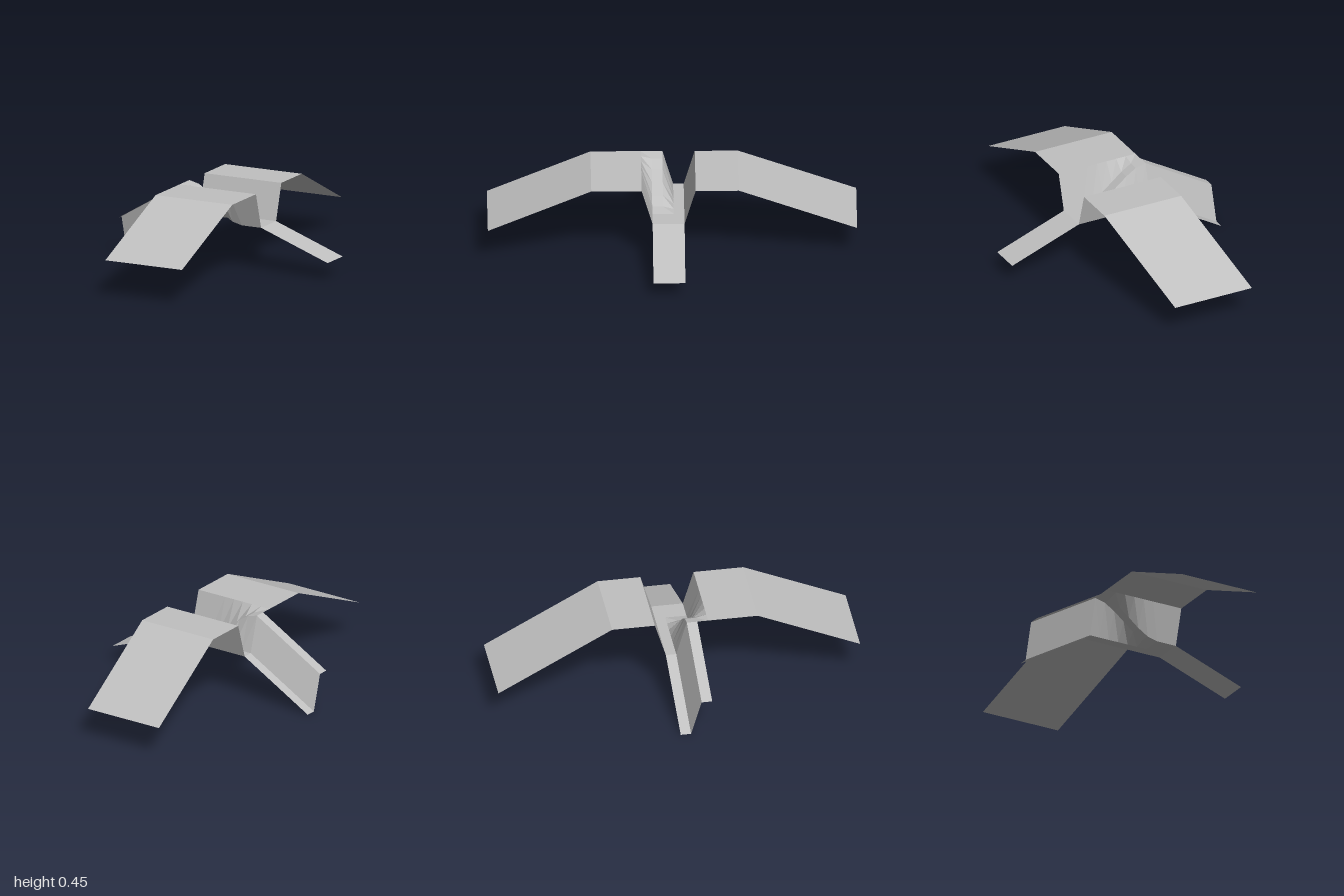
import * as THREE from 'three';

const HALF = 0.235, LOW = 0.25, HIGH = 0.45;
const STEPS = 8;

// Sheet between polylines; lines run towards +z, points along each line towards +x
function sheet(name, lines, material) {
  const pos = [];
  for (let i = 0; i < lines.length - 1; i++) {
    for (let j = 0; j < lines[i].length - 1; j++) {
      const a = lines[i][j], b = lines[i + 1][j];
      const c = lines[i + 1][j + 1], d = lines[i][j + 1];
      pos.push(...a, ...b, ...d, ...b, ...c, ...d);
    }
  }
  const geo = new THREE.BufferGeometry();
  geo.setAttribute('position', new THREE.Float32BufferAttribute(pos, 3));
  geo.computeVertexNormals();
  const mesh = new THREE.Mesh(geo, material);
  mesh.name = name;
  return mesh;
}

// Straight fold line across the strip
const fold = (y, z, shift = 0) => [[-HALF + shift, y, z], [HALF + shift, y, z]];

// Line across the middle whose height follows a function of x
function across(z, height) {
  return Array.from({ length: STEPS + 1 }, (_, i) => {
    const x = -HALF + (2 * HALF * i) / STEPS;
    return [x, height(x), z];
  });
}

// Smooth step down from the raised left-hand side to the low plate
const ramp = (x) => HIGH - (HIGH - LOW) * THREE.MathUtils.smoothstep(x, -HALF, HALF / 2);

export function createModel() {
  const model = new THREE.Group();
  model.name = 'foldedSheetBracket';
  const metal = new THREE.MeshStandardMaterial({ color: 0xc0c0c0 });
  metal.name = 'light grey metal';
  metal.side = THREE.DoubleSide;
  metal.flatShading = true;

  const rear = -0.065, z1 = -0.008, z2 = 0.05, z3 = 0.108, z4 = 0.167;
  const low = () => LOW, high = () => HIGH;

  // Centre plate, with the raised wall shifting from one crease to the next
  model.add(sheet('centrePlate', [
    across(rear, low), across(z1, low), across(z2, ramp), across(z3, ramp), across(z4, high),
  ], metal));

  // Front shelf and its sloping flap
  model.add(sheet('frontShelf', [fold(HIGH, z4), fold(HIGH, 0.44)], metal));
  model.add(sheet('frontFlap', [fold(HIGH, 0.44), fold(0.207, 1, -0.01)], metal));

  // Rear wall, shelf and sheared flap
  model.add(sheet('rearWall', [fold(HIGH, -0.125), fold(LOW, rear)], metal));
  model.add(sheet('rearShelf', [fold(HIGH, -0.36), fold(HIGH, -0.125)], metal));
  model.add(sheet('rearFlap', [fold(0.17, -1, -0.094), fold(HIGH, -0.36)], metal));

  // Flat arm on the left
  model.add(sheet('leftArm', [rear, z3].map((z) => [[HALF, LOW, z], [0.643, 0.1, z]]), metal));

  // Z-section arm on the right, drifting slightly forward at the tip
  const section = [[rear, LOW], [z1, LOW], [z2, HIGH], [z3, HIGH]];
  model.add(sheet('rightArm', section.map(([z, y]) => [
    [-0.645, y - 0.247, z + 0.012], [-HALF, y, z],
  ]), metal));

  model.position.y = -0.003;
  const root = new THREE.Group();
  root.name = 'bracket';
  root.add(model);
  return root;
}
